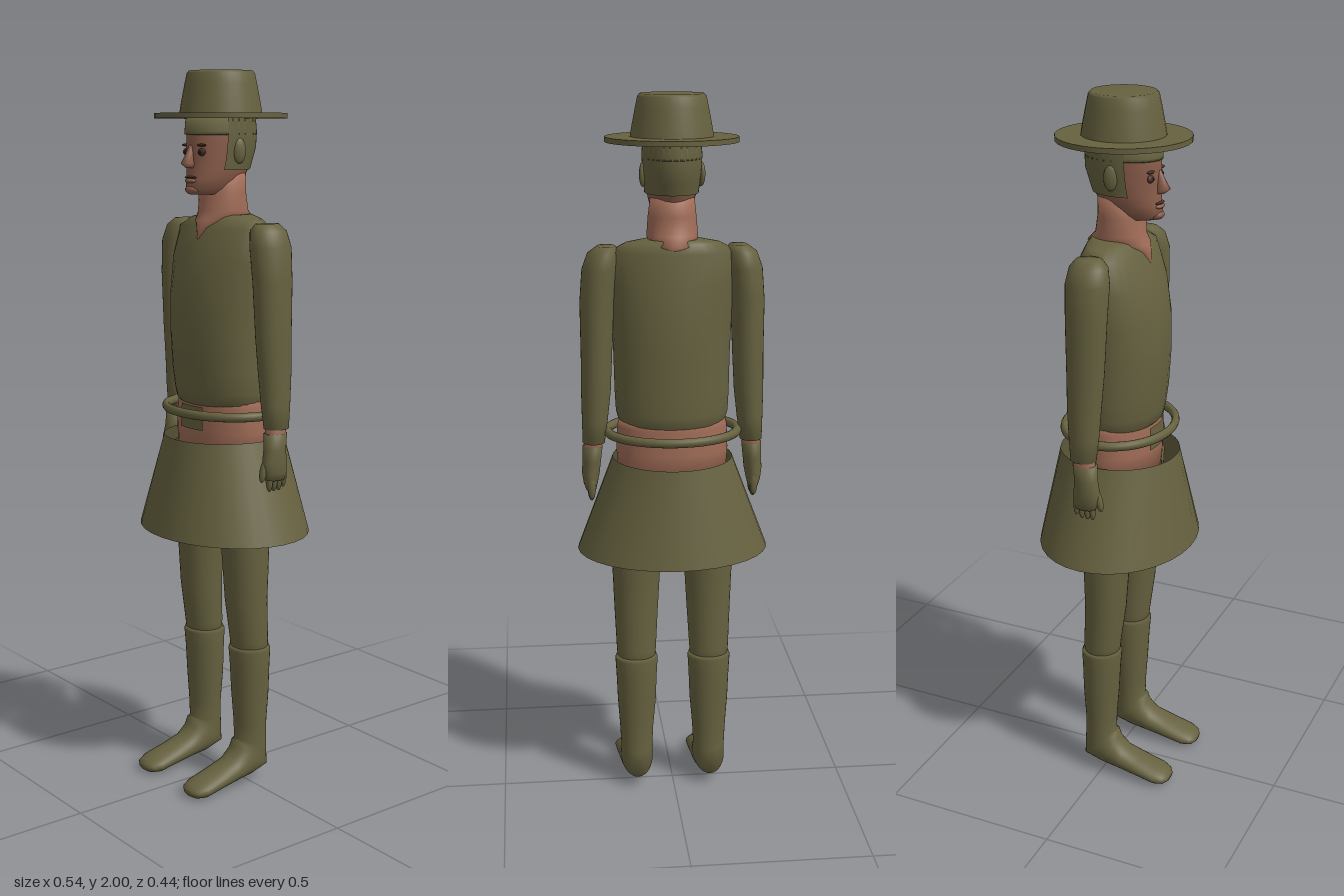
import * as THREE from 'three';

const mat = (name, color, side = THREE.FrontSide) => {
  const m = new THREE.MeshStandardMaterial({ color, side });
  m.name = name;
  return m;
};

// Skin over elliptical sections, listed top to bottom: [x, y, z, halfWidth, halfDepth, tilt]
function loft(sections, { from = 0, sweep = Math.PI * 2, caps = true, seg = 32 } = {}) {
  const closed = sweep > 6.28;
  const cols = closed ? seg : seg + 1;
  const pos = [], idx = [];
  for (const [x, y, z, rx, rd, tilt = 0] of sections) {
    for (let j = 0; j < cols; j++) {
      const a = from + (sweep * j) / seg, d = Math.cos(a) * rd;
      pos.push(x + Math.sin(a) * rx, y + Math.sin(tilt) * d, z + Math.cos(tilt) * d);
    }
  }
  const at = (i, j) => i * cols + (closed ? j % cols : j);
  for (let i = 0; i < sections.length - 1; i++) {
    for (let j = 0; j < seg; j++) {
      const a = at(i, j), b = at(i, j + 1), c = at(i + 1, j), d = at(i + 1, j + 1);
      idx.push(a, c, b, b, c, d);
    }
  }
  if (closed && caps) {
    const last = sections.length - 1, top = pos.length / 3;
    pos.push(...sections[0].slice(0, 3), ...sections[last].slice(0, 3));
    for (let j = 0; j < seg; j++) {
      idx.push(top, at(0, j), at(0, j + 1), top + 1, at(last, j + 1), at(last, j));
    }
  }
  const g = new THREE.BufferGeometry();
  g.setAttribute('position', new THREE.Float32BufferAttribute(pos, 3));
  g.setIndex(idx);
  g.computeVertexNormals();
  return g;
}

export function createModel() {
  const model = new THREE.Group();
  model.name = 'figure';
  const olive = mat('olive cloth', 0x66613f);
  const oliveOpen = mat('olive cloth two sided', 0x66613f, THREE.DoubleSide);
  const skin = mat('skin', 0xa06c57);
  const face = mat('face skin', 0x8a5d4a);
  const brown = mat('dark brown', 0x4a3229);
  const black = mat('pupil', 0x1c1714);

  const add = (name, geometry, material, parent = model) => {
    const mesh = new THREE.Mesh(geometry, material);
    mesh.name = name;
    parent.add(mesh);
    return mesh;
  };
  const blob = (name, material, p, s, parent) => {
    const mesh = add(name, new THREE.SphereGeometry(1, 16, 12), material, parent);
    mesh.position.set(...p);
    mesh.scale.set(...s);
    return mesh;
  };

  // Hat: crown and flat brim
  const hat = new THREE.Group();
  hat.name = 'hat';
  hat.position.z = 0.01;
  model.add(hat);
  const v = (x, y) => new THREE.Vector2(x, y);
  add('crown', new THREE.LatheGeometry(
    [v(0.113, 1.885), v(0.107, 1.92), v(0.098, 1.965), v(0.092, 1.993), v(0.086, 2), v(0, 2)], 32), olive, hat);
  const brim = add('brim', new THREE.CylinderGeometry(0.18, 0.18, 0.014, 32), olive, hat);
  brim.position.y = 1.882;

  // Head
  const head = new THREE.Group();
  head.name = 'head';
  model.add(head);
  const skull = [
    [0, 1.88, 0.01, 0.073, 0.098], [0, 1.84, 0.01, 0.075, 0.102], [0, 1.8, 0.012, 0.073, 0.102],
    [0, 1.77, 0.016, 0.07, 0.096], [0, 1.74, 0.022, 0.067, 0.092], [0, 1.715, 0.03, 0.061, 0.086],
    [0, 1.69, 0.037, 0.05, 0.084], [0, 1.675, 0.035, 0.038, 0.07],
  ];
  add('face', loft(skull), face, head);
  const grow = ([x, y, z, rx, rd]) => [x, y, z, rx + 0.006, rd + 0.005];
  add('backHair', loft(skull.slice(0, 5).map(grow), { from: 1.25, sweep: Math.PI * 2 - 2.5 }), oliveOpen, head);
  add('frontHair', loft([skull[0], skull[1], [0, 1.832, 0.01, 0.0745, 0.102]].map(grow)), oliveOpen, head);
  add('nose', loft([
    [0, 1.805, 0.107, 0.008, 0.008], [0, 1.78, 0.114, 0.01, 0.014],
    [0, 1.757, 0.121, 0.015, 0.021], [0, 1.745, 0.112, 0.013, 0.014],
  ], { seg: 12 }), face, head);
  blob('upperLip', brown, [0, 1.72, 0.112], [0.024, 0.004, 0.01], head);
  blob('lowerLip', face, [0, 1.711, 0.112], [0.022, 0.007, 0.012], head);
  blob('chin', face, [0, 1.688, 0.105], [0.024, 0.014, 0.019], head);
  for (const s of [1, -1]) {
    blob('eyeSocket', brown, [s * 0.031, 1.787, 0.1], [0.017, 0.011, 0.007], head);
    blob('pupil', black, [s * 0.031, 1.786, 0.105], [0.006, 0.006, 0.004], head);
    blob('brow', brown, [s * 0.032, 1.805, 0.101], [0.02, 0.004, 0.008], head);
    blob('ear', olive, [s * 0.078, 1.79, 0.008], [0.01, 0.034, 0.019], head).rotation.y = s * -0.3;
  }

  // Neck, ending in a bare V at the collar
  add('neck', loft([
    [0, 1.73, 0, 0.06, 0.06], [0, 1.68, 0.005, 0.066, 0.064], [0, 1.63, 0.002, 0.07, 0.068],
    [0, 1.605, -0.003, 0.066, 0.088], [0, 1.585, 0.01, 0.04, 0.078], [0, 1.555, 0.065, 0.01, 0.025],
  ]), skin);

  // Shirt, bare waist and the cloth patch below the belt
  add('shirt', loft([
    [0, 1.62, -0.012, 0.075, 0.06], [0, 1.61, -0.01, 0.13, 0.066], [0, 1.585, -0.003, 0.175, 0.08],
    [0, 1.5, 0.01, 0.175, 0.102], [0, 1.4, 0.015, 0.166, 0.117], [0, 1.3, 0.016, 0.162, 0.119],
    [0, 1.2, 0.013, 0.16, 0.116], [0, 1.14, 0.009, 0.157, 0.112], [0, 1.11, 0.008, 0.148, 0.108],
    [0, 1.09, 0.006, 0.135, 0.09],
  ]), olive);
  add('waist', loft([
    [0, 1.125, 0.005, 0.148, 0.1], [0, 1.1, 0.005, 0.154, 0.104],
    [0, 1.03, 0.005, 0.157, 0.107], [0, 0.94, 0.005, 0.15, 0.105],
  ]), skin);
  add('waistPatch', loft([
    [0, 1.1, 0.005, 0.158, 0.111], [0, 1.035, 0.005, 0.162, 0.113],
  ], { from: -0.31, sweep: 0.62, seg: 8 }), oliveOpen);

  // Belt ring
  const belt = add('belt', new THREE.TorusGeometry(0.182, 0.013, 12, 48), olive);
  belt.rotation.x = Math.PI / 2;
  belt.scale.set(1, 0.82, 1);
  belt.position.y = 1.084;

  // Open flared skirt
  add('skirt', loft([[0, 1.01, 0, 0.168, 0.168], [0, 0.74, 0, 0.27, 0.22]], { caps: false }), oliveOpen);

  for (const s of [1, -1]) {
    const side = s > 0 ? 'left' : 'right';
    const mirror = (list) => list.map(([x, ...rest]) => [s * x, ...rest]);

    // Arm with bare wrist
    add(side + 'Sleeve', loft(mirror([
      [0.18, 1.602, -0.005, 0.025, 0.035], [0.187, 1.583, -0.004, 0.044, 0.052],
      [0.198, 1.54, -0.003, 0.049, 0.06], [0.207, 1.45, -0.003, 0.047, 0.057],
      [0.21, 1.3, -0.005, 0.043, 0.052], [0.213, 1.2, -0.008, 0.041, 0.047],
      [0.217, 1.12, -0.008, 0.036, 0.042], [0.221, 1.055, -0.008, 0.031, 0.036],
    ])), olive);
    add(side + 'Wrist', loft(mirror([
      [0.221, 1.08, -0.005, 0.026, 0.03], [0.225, 1.02, -0.002, 0.025, 0.03],
    ])), skin);

    // Gloved hand
    add(side + 'Glove', loft(mirror([
      [0.224, 1.043, -0.002, 0.028, 0.035], [0.227, 1, 0.002, 0.026, 0.033],
      [0.23, 0.965, 0.005, 0.025, 0.038], [0.231, 0.935, 0.003, 0.02, 0.036],
      [0.23, 0.915, 0, 0.014, 0.03],
    ])), olive);
    for (let i = 0; i < 4; i++) {
      blob(side + 'Finger', olive, [s * 0.229, 0.918 + (i === 3 ? 0.008 : 0), 0.022 - i * 0.016],
        [0.011, 0.034, 0.009]);
    }
    blob(side + 'Thumb', olive, [s * 0.225, 0.945, 0.038], [0.011, 0.034, 0.011]).rotation.x = -0.25;

    // Trouser leg
    add(side + 'Leg', loft(mirror([
      [0.078, 0.98, 0.003, 0.076, 0.095], [0.095, 0.85, 0.004, 0.077, 0.08],
      [0.103, 0.74, 0.005, 0.072, 0.068], [0.105, 0.55, 0.002, 0.063, 0.059],
      [0.106, 0.43, -0.008, 0.057, 0.053], [0.106, 0.36, -0.01, 0.052, 0.048],
    ])), olive);

    // Boot: shaft, heel and long foot
    add(side + 'Boot', loft(mirror([
      [0.106, 0.41, -0.01, 0.058, 0.054], [0.106, 0.4, -0.01, 0.062, 0.058],
      [0.106, 0.35, -0.011, 0.059, 0.055], [0.106, 0.27, -0.012, 0.056, 0.052],
      [0.107, 0.18, -0.012, 0.049, 0.046], [0.107, 0.12, -0.013, 0.046, 0.048, 0.25],
      [0.107, 0.085, -0.01, 0.047, 0.072, 0.75], [0.107, 0.066, 0.022, 0.047, 0.052, 1.1],
      [0.108, 0.05, 0.06, 0.047, 0.035, 1.35], [0.109, 0.036, 0.12, 0.049, 0.028, 1.5],
      [0.11, 0.024, 0.175, 0.05, 0.024, 1.55], [0.11, 0.02, 0.2, 0.04, 0.017, 1.57],
      [0.11, 0.019, 0.211, 0.022, 0.009, 1.57],
    ])), olive);
  }
  return model;
}
